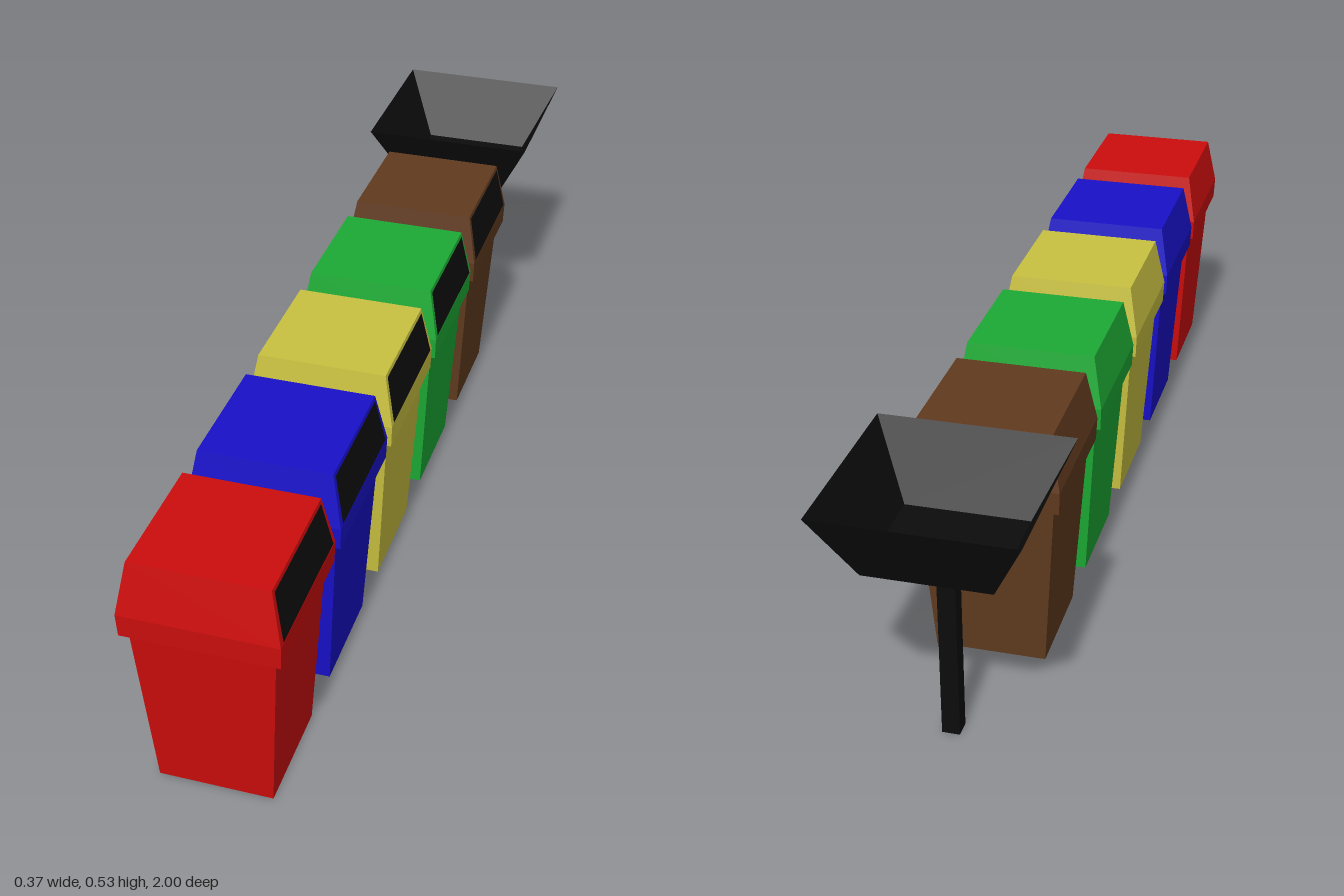
import * as THREE from 'three';

const paint = (color) => new THREE.MeshStandardMaterial({ color, flatShading: true, side: THREE.DoubleSide });

// Square-section solid from [halfWidth, y] pairs, bottom to top
function squareLoft(name, profile, material) {
  const points = profile.map(([half, y]) => new THREE.Vector2(half * Math.SQRT2, y));
  const mesh = new THREE.Mesh(new THREE.LatheGeometry(points, 4, Math.PI / 4), material);
  mesh.name = name;
  return mesh;
}

// Dark opening lying on the sloping +x face of the lid
function createOpening(material) {
  const outline = [[-0.135, 0.404], [0.135, 0.404], [0.122, 0.498], [-0.122, 0.498]];
  const shape = new THREE.Shape(outline.map(([x, y]) => new THREE.Vector2(x, y)));
  const geometry = new THREE.ShapeGeometry(shape).rotateY(Math.PI / 2);
  const pos = geometry.attributes.position;
  for (let i = 0; i < pos.count; i++) {
    const t = (pos.getY(i) - 0.4) / 0.105;
    pos.setX(i, THREE.MathUtils.lerp(0.148, 0.129, t) + 0.001);
  }
  geometry.computeVertexNormals();
  const mesh = new THREE.Mesh(geometry, material);
  mesh.name = 'opening';
  return mesh;
}

function createBin(name, color, black) {
  const bin = new THREE.Group();
  bin.name = name;
  const material = paint(color);
  bin.add(
    squareLoft('body', [[0, 0], [0.109, 0], [0.133, 0.355]], material),
    squareLoft('lid', [[0, 0.354], [0.146, 0.354], [0.148, 0.4], [0.129, 0.505], [0, 0.505]], material),
    createOpening(black)
  );
  return bin;
}

export function createModel() {
  const model = new THREE.Group();
  model.name = 'recyclingBins';
  const black = paint(0x0c0c0c);

  // Row of five bins
  const bins = [
    ['redBin', 0xcc0d0d], ['blueBin', 0x1810c8], ['yellowBin', 0xc8c040],
    ['greenBin', 0x1caa34], ['brownBin', 0x603a1e]
  ];
  bins.forEach(([name, color], i) => {
    const bin = createBin(name, color, black);
    bin.position.z = 0.852 - i * 0.3285;
    model.add(bin);
  });

  // Open tray on a square post
  const stand = new THREE.Group();
  stand.name = 'trayStand';
  const post = new THREE.Mesh(new THREE.BoxGeometry(0.034, 0.39, 0.034), black);
  post.name = 'post';
  post.position.y = 0.195;
  stand.add(post, squareLoft('tray', [[0, 0.39], [0.118, 0.39], [0.186, 0.531]], black));
  stand.position.z = -0.814;
  model.add(stand);

  return model;
}
